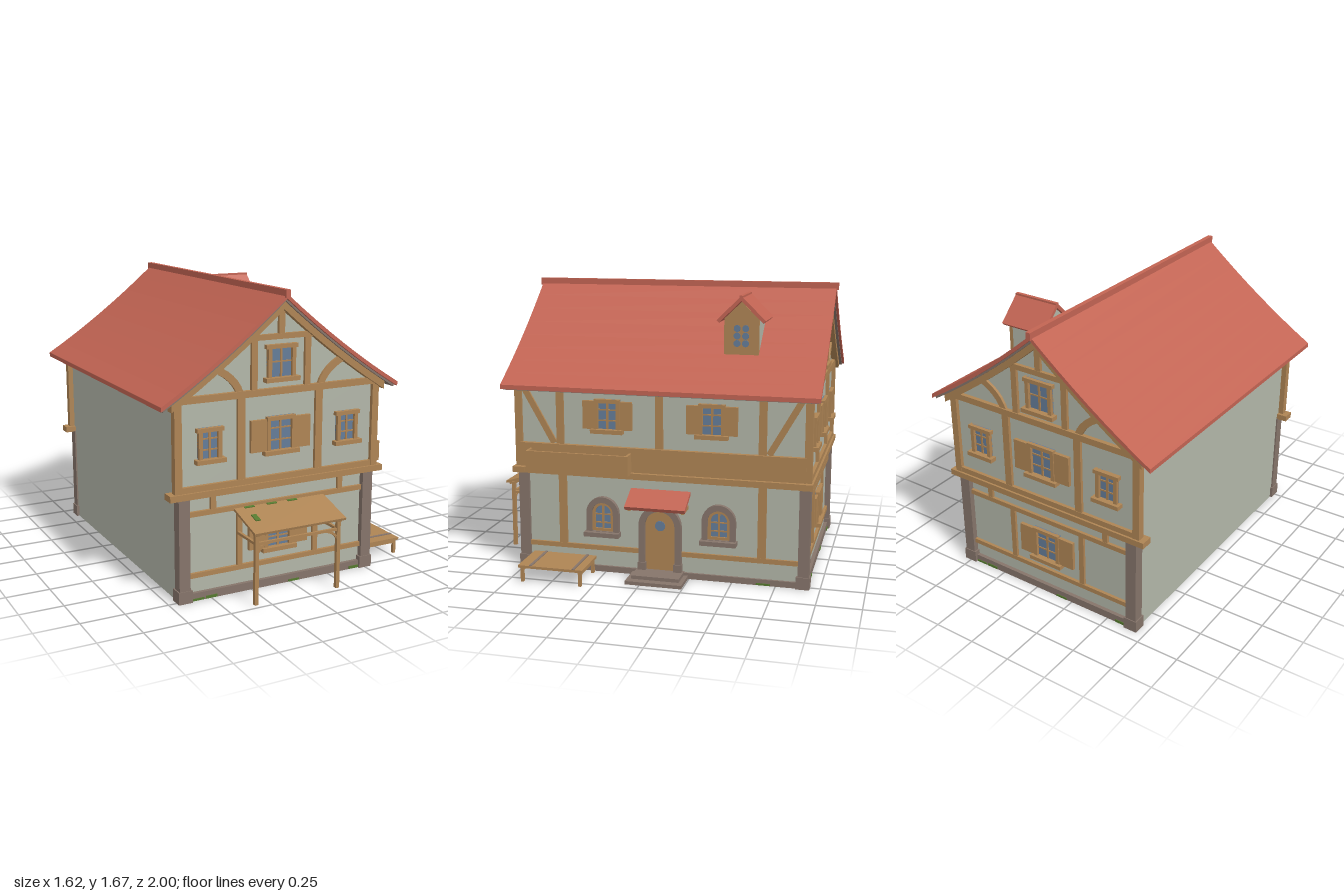
import * as THREE from 'three';

const paint = (name, color, side = THREE.FrontSide) => {
  const m = new THREE.MeshStandardMaterial({ color, side });
  m.name = name;
  return m;
};
const plaster = paint('plaster', 0xb2b6a8, THREE.DoubleSide);
const wood = paint('timber', 0xae8454);
const stone = paint('stone', 0x85746a);
const tile = paint('red tile', 0xc26453);
const glass = paint('glass', 0x647c98);
const moss = paint('moss', 0x55792f);

function add(g, name, geo, mat) {
  const m = new THREE.Mesh(geo, mat);
  m.name = name;
  g.add(m);
  return m;
}
// Box given by its limits
function box(g, name, mat, x0, x1, y0, y1, z0, z1) {
  const m = add(g, name, new THREE.BoxGeometry(x1 - x0, y1 - y0, z1 - z0), mat);
  m.position.set((x0 + x1) / 2, (y0 + y1) / 2, (z0 + z1) / 2);
  return m;
}
// Flat outline extruded from z0 to z1
function slab(g, name, mat, shape, z0, z1) {
  const geo = new THREE.ExtrudeGeometry(shape, { depth: z1 - z0, bevelEnabled: false, curveSegments: 8 });
  return add(g, name, geo.translate(0, 0, z0), mat);
}
const outline = pts => new THREE.Shape(pts.map(p => new THREE.Vector2(p[0], p[1])));

// Straight or bent timber of constant width through a, bend, b
function brace(g, name, mat, a, bend, b, width, z0, z1) {
  const V = p => new THREE.Vector2(p[0], p[1]);
  const c = new THREE.QuadraticBezierCurve(V(a), V(bend), V(b));
  const l = [], r = [];
  for (let i = 0; i <= 6; i++) {
    const p = c.getPoint(i / 6), t = c.getTangent(i / 6);
    l.push([p.x - t.y * width / 2, p.y + t.x * width / 2]);
    r.unshift([p.x + t.y * width / 2, p.y - t.x * width / 2]);
  }
  return slab(g, name, mat, outline([...l, ...r]), z0, z1);
}
const mid = (a, b) => [(a[0] + b[0]) / 2, (a[1] + b[1]) / 2];

// Lean-to slab falling from (y0, z0) to (y1, z1)
function slope(g, name, mat, x0, x1, y0, z0, y1, z1, t) {
  const m = add(g, name, new THREE.BoxGeometry(x1 - x0, t, Math.hypot(y1 - y0, z1 - z0)), mat);
  m.position.set((x0 + x1) / 2, (y0 + y1) / 2, (z0 + z1) / 2);
  m.rotation.x = Math.atan2(y0 - y1, z1 - z0);
  return m;
}
function arch(w, h, y, Type = THREE.Shape) {
  const s = new Type();
  s.moveTo(-w / 2, y);
  s.lineTo(w / 2, y);
  s.lineTo(w / 2, y + h - w / 2);
  s.absarc(0, y + h - w / 2, w / 2, 0, Math.PI, false);
  s.closePath();
  return s;
}
function archRing(w, h, y, rim, foot) {
  const s = arch(w, h, y);
  s.holes.push(arch(w - 2 * rim, h - rim - foot, y + foot, THREE.Path));
  return s;
}
function group(parent, name, x = 0, y = 0, z = 0) {
  const g = new THREE.Group();
  g.name = name;
  g.position.set(x, y, z);
  parent.add(g);
  return g;
}

// Square window with bars, sill and optional shutters or lintel
function addWindow(parent, x, y, w, h, shutter, rows = 3) {
  const g = group(parent, 'window', x, y, 0), f = 0.022, a = w / 2, b = h / 2;
  box(g, 'glass', glass, -a, a, -b, b, 0.001, 0.007);
  for (const s of [-1, 1]) {
    box(g, 'frameSide', wood, s * (a - f / 2) - f / 2, s * (a - f / 2) + f / 2, -b, b, -0.01, 0.025);
    if (shutter) box(g, 'shutter', wood, s * (a + shutter / 2) - shutter / 2, s * (a + shutter / 2) + shutter / 2, -b + 0.01, b - 0.012, 0, 0.02);
  }
  const over = shutter ? 0 : 0.012;
  box(g, 'lintel', wood, -a - over, a + over, b - f, b, -0.01, 0.028);
  box(g, 'sill', wood, -a - 0.02, a + 0.02, -b - 0.012, -b + 0.012, -0.01, 0.042);
  box(g, 'mullion', wood, -0.006, 0.006, -b, b, 0, 0.013);
  for (let i = 1; i < rows; i++) box(g, 'bar', wood, -a, a, -b + h * i / rows - 0.004, -b + h * i / rows + 0.004, 0, 0.012);
}
function addArchedWindow(parent, x) {
  const g = group(parent, 'archedWindow', x, 0, 0);
  slab(g, 'stoneSurround', stone, archRing(0.195, 0.225, 0.23, 0.034, 0.02), -0.01, 0.028);
  slab(g, 'frame', wood, archRing(0.13, 0.175, 0.248, 0.018, 0.018), -0.01, 0.016);
  slab(g, 'glass', glass, arch(0.125, 0.17, 0.25), 0.001, 0.006);
  box(g, 'sill', stone, -0.105, 0.105, 0.222, 0.248, -0.01, 0.058);
  box(g, 'mullion', wood, -0.006, 0.006, 0.25, 0.42, 0, 0.012);
  for (const y of [0.3, 0.35]) box(g, 'bar', wood, -0.06, 0.06, y - 0.004, y + 0.004, 0, 0.011);
}

// Roof curve: height over distance from the ridge
const roofY = d => 1.645 - 0.86 * d + 0.174 * d * d;
function roofBand(g, name, mat, t0, t1, reach, z0, z1) {
  const top = [], low = [];
  for (let i = -8; i <= 8; i++) {
    const d = reach * i / 8, y = roofY(Math.abs(d));
    top.unshift([d, y - t0]);
    low.push([d, y - t1]);
  }
  return slab(g, name, mat, outline([...low, ...top]), z0, z1);
}

// Gable wall, used for front and back
function addGable(house, name, angle) {
  const turn = group(house, name);
  turn.rotation.y = angle;
  const lower = group(turn, 'lowerWall', 0, 0, 0.825), g = group(turn, 'upperWall', 0, 0, 0.84);
  add(lower, 'plaster', new THREE.PlaneGeometry(1.2, 0.61).translate(0, 0.305, 0), plaster);
  box(lower, 'stoneBase', stone, -0.55, 0.55, 0, 0.045, -0.01, 0.022);
  box(lower, 'lowRail', wood, -0.55, 0.55, 0.13, 0.157, -0.01, 0.018);
  box(lower, 'highRail', wood, -0.55, 0.55, 0.477, 0.505, -0.01, 0.018);
  for (const s of [-1, 1]) {
    box(lower, 'shortPost', wood, s * 0.403 - 0.016, s * 0.403 + 0.016, 0.505, 0.59, -0.01, 0.016);
    box(lower, 'post', wood, s * 0.242 - 0.016, s * 0.242 + 0.016, 0.157, 0.477, -0.01, 0.016);
  }
  addWindow(lower, 0, 0.32, 0.177, 0.2, 0.097);
  [-0.5, -0.42, 0.1, 0.51].forEach((x, i) => box(lower, 'moss', moss, x - 0.035, x + 0.035, 0.002, 0.014 + 0.004 * (i % 2), 0.022, 0.026));

  const edge = [[-0.615, 0.585], [0.615, 0.585]];
  for (let i = 4; i >= -4; i--) edge.push([0.615 * i / 4, roofY(0.615 * Math.abs(i) / 4) - 0.03]);
  add(g, 'plaster', new THREE.ShapeGeometry(outline(edge)), plaster);
  box(g, 'floorBeam', wood, -0.67, 0.67, 0.585, 0.62, -0.04, 0.032);
  box(g, 'bottomRail', wood, -0.6, 0.6, 0.62, 0.652, -0.01, 0.02);
  box(g, 'tieBeam', wood, -0.635, 0.635, 1.1, 1.137, -0.015, 0.024);
  box(g, 'collarBeam', wood, -0.2, 0.2, 1.4, 1.43, -0.01, 0.02);
  box(g, 'kingPost', wood, -0.018, 0.018, 1.43, 1.6, -0.01, 0.018);
  for (const s of [-1, 1]) {
    box(g, 'post', wood, s * 0.242 - 0.022, s * 0.242 + 0.022, 0.65, 1.1, -0.01, 0.018);
    box(g, 'gablePost', wood, s * 0.165 - 0.018, s * 0.165 + 0.018, 1.137, 1.41, -0.01, 0.018);
    brace(g, 'curvedBrace', wood, [s * 0.41, 1.275], [s * 0.28, 1.22], [s * 0.25, 1.125], 0.04, -0.005, 0.016);
    addWindow(g, s * 0.43, 0.872, 0.135, 0.18, 0);
  }
  addWindow(g, 0, 0.88, 0.177, 0.2, 0.097);
  addWindow(g, 0, 1.278, 0.17, 0.19, 0, 2);
  roofBand(g, 'rakeBeam', wood, 0.04, 0.085, 0.66, -0.01, 0.04);
  return g;
}

export function createModel() {
  const model = new THREE.Group();
  model.name = 'timberHouse';
  const house = group(model, 'house', -0.08, 0, -0.08);

  // Corner pillars and posts
  for (const x of [-1, 1]) for (const z of [-1, 1]) {
    const c = group(house, 'corner');
    const part = (name, mat, x0, x1, y0, y1, z0, z1) => box(c, name, mat, Math.min(x * x0, x * x1), Math.max(x * x0, x * x1), y0, y1, Math.min(z * z0, z * z1), Math.max(z * z0, z * z1));
    part('pillarBase', stone, 0.54, 0.622, 0, 0.07, 0.785, 0.862);
    part('pillar', stone, 0.55, 0.615, 0.07, 0.59, 0.795, 0.857);
    part('cornerPost', wood, 0.595, 0.637, 0.62, 1.11, 0.82, 0.862);
  }
  const front = addGable(house, 'frontGable', 0);
  addGable(house, 'backGable', Math.PI);

  // Plain left wall
  const left = add(house, 'leftWall', new THREE.PlaneGeometry(1.68, 1.16), plaster);
  left.rotation.y = -Math.PI / 2;
  left.position.set(-0.606, 0.58, 0);

  // Roof
  roofBand(house, 'roof', tile, 0, 0.025, 0.73, -0.908, 0.908);
  roofBand(house, 'soffit', stone, 0.026, 0.04, 0.715, -0.895, 0.895);
  box(house, 'ridgeCap', tile, -0.014, 0.014, 1.625, 1.668, -0.92, 0.92);

  // Front lean-to
  const porch = group(front, 'leanTo');
  slope(porch, 'canopy', wood, -0.28, 0.29, 0.482, 0, 0.412, 0.24, 0.014);
  for (const x of [-0.25, 0.265]) {
    box(porch, 'post', wood, x - 0.011, x + 0.011, 0, 0.42, 0.188, 0.21);
    box(porch, 'sideRail', wood, x - 0.008, x + 0.008, 0.338, 0.353, -0.02, 0.19);
    slope(porch, 'rafter', wood, x - 0.01, x + 0.01, 0.467, 0, 0.402, 0.225, 0.016);
    const s = x < 0 ? 1 : -1;
    brace(porch, 'curvedBrace', wood, [x, 0.28], [x + s * 0.02, 0.335], [x + s * 0.09, 0.345], 0.014, 0.192, 0.206);
  }
  box(porch, 'frontBeam', wood, -0.265, 0.28, 0.395, 0.412, 0.19, 0.208);
  box(porch, 'frontRail', wood, -0.25, 0.265, 0.338, 0.353, 0.192, 0.206);
  slope(porch, 'moss', moss, -0.22, -0.19, 0.466, 0.085, 0.45, 0.14, 0.008);
  for (const x of [-0.19, -0.05, 0.08]) slope(porch, 'moss', moss, x - 0.03, x + 0.03, 0.489, 0.004, 0.485, 0.018, 0.006);

  // Right side, lower storey
  const right = group(house, 'rightSide');
  right.rotation.y = Math.PI / 2;
  const low = group(right, 'lowerWall', 0, 0, 0.595), up = group(right, 'upperWall', 0, 0, 0.62);
  add(low, 'plaster', new THREE.PlaneGeometry(1.65, 0.61).translate(0, 0.305, 0), plaster);
  for (const s of [-1, 1]) {
    box(low, 'stoneBase', stone, s * 0.46 - 0.335, s * 0.46 + 0.335, 0, 0.035, -0.01, 0.014);
    box(low, 'rail', wood, s * 0.46 - 0.335, s * 0.46 + 0.335, 0.13, 0.158, -0.01, 0.013);
    box(low, 'post', wood, s * 0.588 - 0.024, s * 0.588 + 0.024, 0.158, 0.59, -0.01, 0.012);
    addArchedWindow(low, s * 0.343);
    box(low, 'moss', moss, s * 0.6 - 0.04, s * 0.6 + 0.04, 0.002, 0.013, 0.014, 0.018);
  }
  // Door
  const door = group(low, 'door');
  slab(door, 'stoneArch', stone, archRing(0.25, 0.43, 0, 0.037, 0.03), -0.01, 0.03);
  slab(door, 'doorLeaf', wood, arch(0.18, 0.37, 0.028), -0.005, 0.012);
  add(door, 'roundPane', new THREE.CylinderGeometry(0.03, 0.03, 0.008, 16).rotateX(Math.PI / 2).translate(0, 0.305, 0.013), glass);
  for (const s of [-1, 1]) {
    box(door, 'jambBase', stone, s * 0.106 - 0.023, s * 0.106 + 0.023, 0.02, 0.085, 0, 0.037);
    brace(door, 'bracket', wood, [s * 0.155 - 0.008, 0.425], [s * 0.155, 0.425], [s * 0.155 + 0.008, 0.425], 0.022, 0, 0.12);
  }
  box(door, 'lowerStep', stone, -0.165, 0.165, 0, 0.02, 0, 0.185);
  box(door, 'upperStep', stone, -0.14, 0.14, 0.02, 0.04, 0, 0.14);
  slope(door, 'doorCanopy', tile, -0.175, 0.175, 0.508, 0, 0.436, 0.143, 0.022);

  // Right side, upper storey
  add(up, 'plaster', new THREE.PlaneGeometry(1.68, 0.56).translate(0, 0.865, 0), plaster);
  box(up, 'floorBeam', wood, -0.868, 0.868, 0.585, 0.62, -0.04, 0.045);
  box(up, 'fascia', wood, -0.83, 0.83, 0.62, 0.74, -0.01, 0.022);
  box(up, 'fasciaCap', wood, -0.83, 0.83, 0.74, 0.762, -0.01, 0.028);
  for (const x of [-0.588, 0, 0.588]) box(up, 'post', wood, x - 0.022, x + 0.022, 0.76, 1.13, -0.01, 0.014);
  for (const s of [-1, 1]) {
    const a = [s * 0.815, 1.1], b = [s * 0.625, 0.765];
    brace(up, 'diagonalBrace', wood, a, mid(a, b), b, 0.036, -0.005, 0.013);
    addWindow(up, s * 0.303, 0.943, 0.15, 0.185, 0.07);
  }
  // Planter
  const planter = group(up, 'planter');
  box(planter, 'floor', wood, -0.77, -0.16, 0.612, 0.63, 0.02, 0.1);
  box(planter, 'frontBoard', wood, -0.77, -0.16, 0.615, 0.73, 0.085, 0.1);
  for (const x of [-0.77, -0.175]) box(planter, 'endBoard', wood, x, x + 0.015, 0.63, 0.73, 0.02, 0.086);
  // Bench
  const bench = group(up, 'bench');
  box(bench, 'seat', wood, -0.765, -0.38, 0.085, 0.1, 0.005, 0.27);
  for (const x of [-0.69, -0.435]) {
    box(bench, 'batten', stone, x - 0.008, x + 0.008, 0.1, 0.104, 0.005, 0.268);
  }
  for (const x of [-0.745, -0.4]) {
    box(bench, 'rail', wood, x - 0.008, x + 0.008, 0.065, 0.085, 0.01, 0.26);
    for (const z of [0.02, 0.25]) box(bench, 'leg', wood, x - 0.009, x + 0.009, 0, 0.085, z - 0.009, z + 0.009);
  }

  // Dormer
  const dormer = group(right, 'dormer', 0.43, 0, 0);
  const face = outline([[-0.098, 1.29], [0.098, 1.29], [0.098, 1.49], [0, 1.585], [-0.098, 1.49]]);
  slab(dormer, 'walls', plaster, face, 0.2, 0.435);
  slab(dormer, 'frontBoard', wood, face, 0.435, 0.458);
  for (const s of [-1, 1]) {
    const a = [s * 0.132, 1.475], b = [0, 1.605];
    brace(dormer, 'dormerRoof', tile, a, mid(a, b), b, 0.02, 0.19, 0.475);
    for (const y of [1.437, 1.395, 1.353]) {
      add(dormer, 'pane', new THREE.CylinderGeometry(0.02, 0.02, 0.008, 10).rotateX(Math.PI / 2).translate(s * 0.024, y, 0.459), glass);
    }
  }
  box(dormer, 'dormerRidge', tile, -0.01, 0.01, 1.595, 1.62, 0.19, 0.475);
  return model;
}
